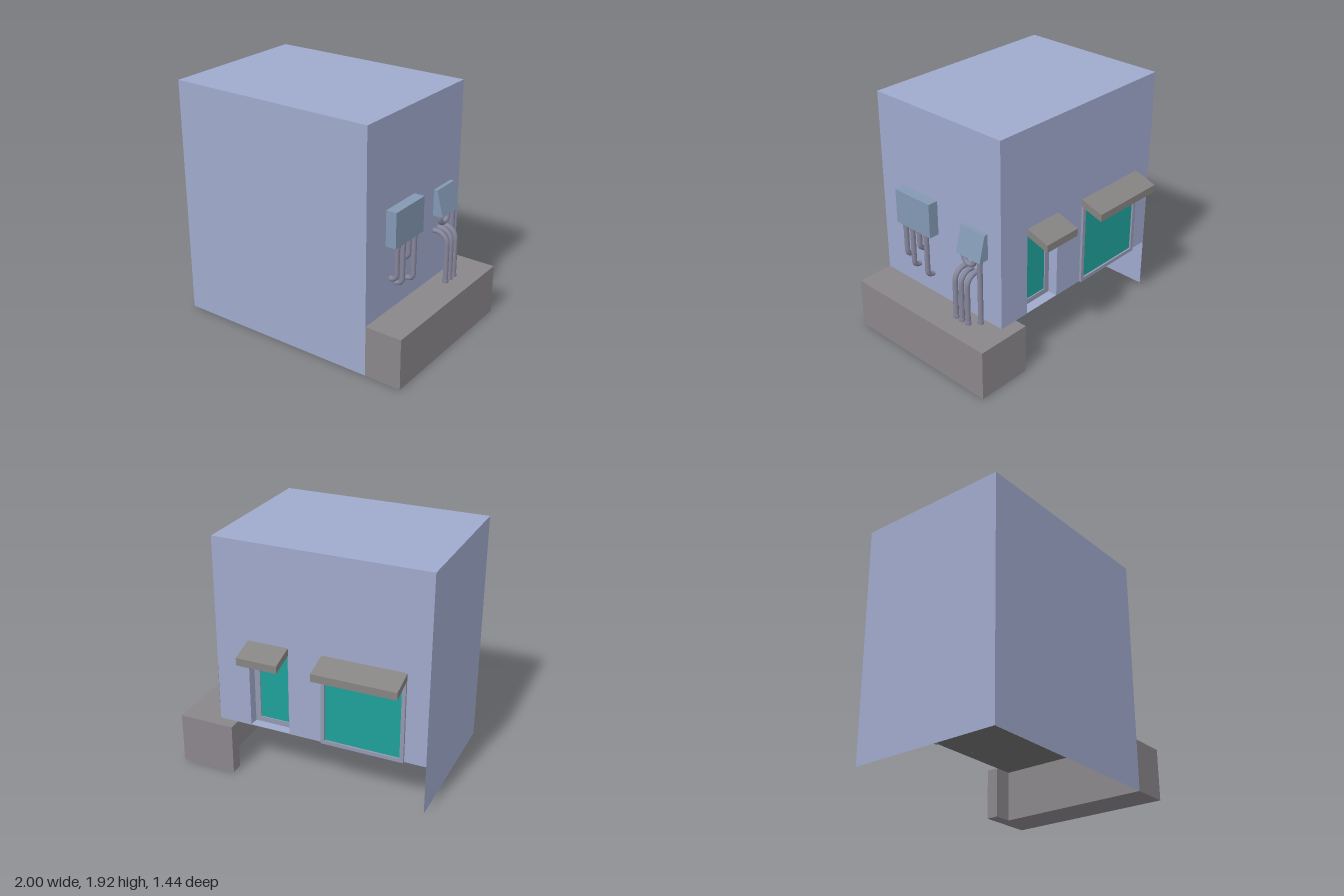
import * as THREE from 'three';

const FLOOR = 0.41, TOP = 1.92, LEFT = 0.70, RIGHT = -1, BACK = -0.53, FRONT = 0.72;
const mat = (color, side = THREE.FrontSide) => new THREE.MeshStandardMaterial({ color, side });
const V = (x, y, z) => new THREE.Vector3(x, y, z);

export function createModel() {
  const root = new THREE.Group();
  const wall = mat(0x9fa9cc, THREE.DoubleSide);
  const concrete = mat(0x8a868b);
  const floorMat = mat(0x707070, THREE.DoubleSide);
  const awningMat = mat(0x868482);
  const frameMat = mat(0x9398b0);
  const glass = mat(0x1fa09a);
  const metal = mat(0x85859a);
  const cabinet = mat(0x8398b3);

  const add = (name, geo, material, parent = root) => {
    const m = new THREE.Mesh(geo, material);
    m.name = name;
    parent.add(m);
    return m;
  };
  const group = (name) => {
    const g = new THREE.Group();
    g.name = name;
    root.add(g);
    return g;
  };
  const shape = (pts) => new THREE.Shape(pts.map((p) => new THREE.Vector2(...p)));
  const extrude = (pts, depth) => new THREE.ExtrudeGeometry(shape(pts), { depth, bevelEnabled: false });
  // Box given by its lower and upper limits
  const box = (x0, x1, y0, y1, z0, z1) =>
    new THREE.BoxGeometry(x1 - x0, y1 - y0, z1 - z0).translate((x0 + x1) / 2, (y0 + y1) / 2, (z0 + z1) / 2);

  // Shell: front and right walls reach the ground, the raised floor is open below
  const shell = group('building');
  const W = LEFT - RIGHT, D = FRONT - BACK, cx = (LEFT + RIGHT) / 2, cz = (FRONT + BACK) / 2;
  add('frontWall', new THREE.PlaneGeometry(W, TOP).translate(cx, TOP / 2, FRONT), wall, shell);
  add('rightWall', new THREE.PlaneGeometry(D, TOP).rotateY(-Math.PI / 2).translate(RIGHT, TOP / 2, cz), wall, shell);
  add('leftWall', new THREE.PlaneGeometry(D, TOP - FLOOR).rotateY(Math.PI / 2)
    .translate(LEFT, (TOP + FLOOR) / 2, cz), wall, shell);
  add('roof', new THREE.PlaneGeometry(W, D).rotateX(-Math.PI / 2).translate(cx, TOP, cz), wall, shell);
  add('floor', new THREE.PlaneGeometry(W, D).rotateX(Math.PI / 2).translate(cx, FLOOR, cz), floorMat, shell);

  // Back wall with a door opening cut up from the floor
  const door = { x0: 0.10, x1: 0.43, top: 1.08, z: BACK + 0.08 };
  add('backWall', new THREE.ShapeGeometry(shape([
    [RIGHT, FLOOR], [door.x0, FLOOR], [door.x0, door.top], [door.x1, door.top],
    [door.x1, FLOOR], [LEFT, FLOOR], [LEFT, TOP], [RIGHT, TOP],
  ])).rotateY(Math.PI).scale(-1, 1, 1).translate(0, 0, BACK), wall, shell);

  // Rectangular frame with a pane set inside it
  const framedPane = (name, x0, x1, y0, y1, zFace, zPane, zIn, t) => {
    const g = group(name);
    const s = shape([[x0, y0], [x1, y0], [x1, y1], [x0, y1]]);
    s.holes.push(new THREE.Path([[x0 + t, y0 + t], [x0 + t, y1 - t], [x1 - t, y1 - t], [x1 - t, y0 + t]]
      .map((p) => new THREE.Vector2(...p))));
    add('frame', new THREE.ExtrudeGeometry(s, { depth: zIn - zFace, bevelEnabled: false })
      .translate(0, 0, zFace), frameMat, g);
    add('pane', box(x0 + t, x1 - t, y0 + t, y1 - t, zPane, zIn), glass, g);
    return g;
  };
  framedPane('window', -0.83, -0.17, FLOOR, 1.08, BACK - 0.02, BACK - 0.005, BACK + 0.01, 0.03);
  const doorGroup = framedPane('door', door.x0, door.x1, FLOOR, door.top, door.z, door.z + 0.01, door.z + 0.03, 0.045);

  // Door recess lining
  const depth = door.z - BACK, zc = (door.z + BACK) / 2, h = door.top - FLOOR;
  for (const x of [door.x0, door.x1])
    add('jamb', new THREE.PlaneGeometry(depth, h).rotateY(Math.PI / 2).translate(x, FLOOR + h / 2, zc), wall, doorGroup);
  add('lintel', new THREE.PlaneGeometry(door.x1 - door.x0, depth).rotateX(Math.PI / 2)
    .translate((door.x0 + door.x1) / 2, door.top, zc), wall, doorGroup);
  add('sill', new THREE.PlaneGeometry(door.x1 - door.x0, depth).rotateX(-Math.PI / 2)
    .translate((door.x0 + door.x1) / 2, FLOOR + 0.003, zc), wall, doorGroup);

  // Sloping awnings above the window and the door
  for (const [name, x0, x1] of [['windowAwning', -0.83, -0.17], ['doorAwning', 0.10, 0.43]])
    add(name, extrude([[0.53, 1.08], [0.72, 1.02], [0.72, 1.08], [0.53, 1.14]], x1 - x0)
      .rotateY(Math.PI / 2).translate(x0, 0, 0), awningMat);

  // Concrete ledge along the left side, turning the back corner
  add('ledge', extrude([[0.70, -0.72], [1, -0.72], [1, 0.63], [0.55, 0.63], [0.55, 0.53], [0.70, 0.53]], FLOOR)
    .rotateX(-Math.PI / 2), concrete);

  // Wall cabinets: a plain one and one with a sloping face
  add('largeCabinet', box(LEFT, 0.785, 0.95, 1.23, 0.115, 0.48), cabinet);
  add('slopedCabinet', extrude([[LEFT, 0.95], [0.785, 0.95], [0.73, 1.16], [LEFT, 1.16]], 0.24)
    .translate(0, 0, -0.40), cabinet);

  // Pipe through the given points with rounded bends of radius r
  const pipes = group('pipes');
  const pipe = (name, pts, r) => {
    const path = new THREE.CurvePath();
    let from = pts[0];
    for (let i = 1; i < pts.length - 1; i++) {
      const p = pts[i];
      const a = p.clone().add(pts[i - 1].clone().sub(p).setLength(r));
      const b = p.clone().add(pts[i + 1].clone().sub(p).setLength(r));
      const k = 0.552;
      path.add(new THREE.LineCurve3(from, a));
      path.add(new THREE.CubicBezierCurve3(a, a.clone().lerp(p, k), b.clone().lerp(p, k), b));
      from = b;
    }
    path.add(new THREE.LineCurve3(from, pts[pts.length - 1]));
    add(name, new THREE.TubeGeometry(path, 64, 0.02, 16), metal, pipes);
  };
  const collar = (x, y, z) =>
    add('collar', new THREE.CylinderGeometry(0.024, 0.024, 0.026, 16).translate(x, y, z), metal, pipes);

  // Drops from the large cabinet, each turning into the wall
  [[0.415, 0.67], [0.34, 0.605], [0.265, 0.785], [0.19, 0.58]].forEach(([z, y]) => {
    pipe('dropPipe', [V(0.757, 0.96, z), V(0.757, y, z), V(LEFT - 0.01, y, z)], 0.045);
    collar(0.757, 0.938, z);
  });

  // Pipes rising from the ledge and bending into the wall
  for (const z of [-0.18, -0.243, -0.305]) {
    pipe('risingPipe', [V(0.82, FLOOR, z), V(0.82, 0.82, z), V(LEFT - 0.01, 0.82, z)], 0.09);
    collar(0.82, FLOOR + 0.013, z);
  }

  // Loop and straight pipe under the sloped cabinet
  pipe('loopPipe', [V(0.742, 0.96, -0.193), V(0.742, 0.872, -0.193), V(0.742, 0.872, -0.308), V(0.742, 0.96, -0.308)], 0.055);
  pipe('straightPipe', [V(0.75, FLOOR, -0.367), V(0.75, 0.96, -0.367)], 0);
  collar(0.742, 0.938, -0.193);
  collar(0.742, 0.938, -0.308);
  collar(0.75, 0.938, -0.367);
  collar(0.75, FLOOR + 0.013, -0.367);

  return root;
}
